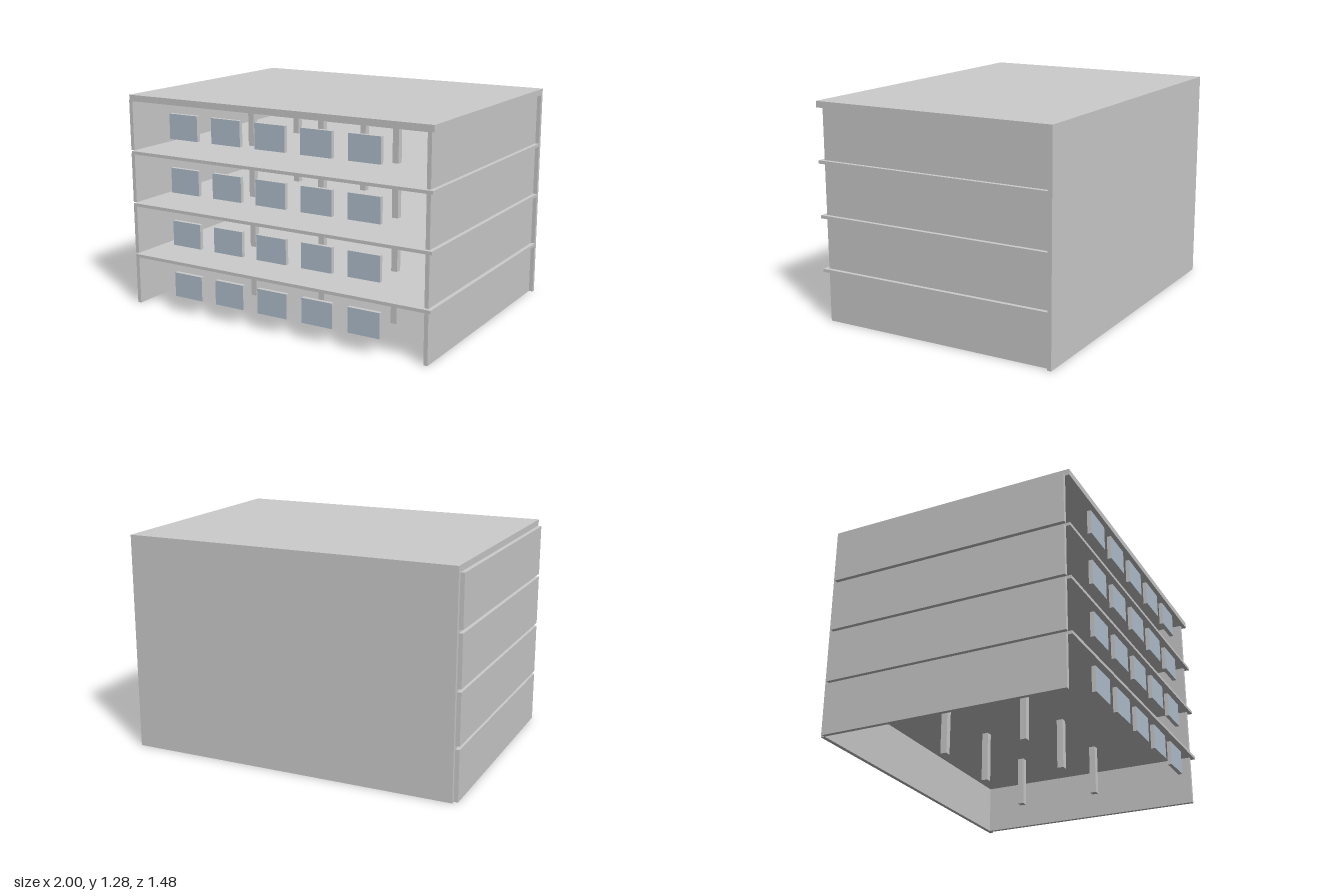
import * as THREE from 'three';

export function createModel() {
  const model = new THREE.Group();
  model.name = 'openBuilding';

  const concrete = new THREE.MeshStandardMaterial({ color: 0xcccccc });
  concrete.name = 'concrete grey';
  const glass = new THREE.MeshStandardMaterial({ color: 0xb4c3d1 });
  glass.name = 'glass blue';
  // Glass on the front and back faces, grey edges all round
  const windowMaterials = [concrete, concrete, concrete, concrete, glass, glass];

  // Box given by its minimum and maximum corners
  function box(parent, name, [x0, y0, z0], [x1, y1, z1], material = concrete) {
    const mesh = new THREE.Mesh(new THREE.BoxGeometry(x1 - x0, y1 - y0, z1 - z0), material);
    mesh.position.set((x0 + x1) / 2, (y0 + y1) / 2, (z0 + z1) / 2);
    mesh.name = name;
    parent.add(mesh);
  }

  const STEP = 0.3165, ROOM = 0.298, FLOORS = 4;
  const LEFT = 1, RIGHT = -0.976, Z = 0.74, IN = 0.716;
  const roofBase = (FLOORS - 1) * STEP + ROOM;

  for (let i = 0; i < FLOORS; i++) {
    const storey = new THREE.Group();
    storey.name = 'storey' + (i + 1);
    storey.position.y = i * STEP;
    model.add(storey);

    // Side walls: the right one stands outside the slabs, the left one is set in
    box(storey, 'rightWall', [-1, 0, -IN], [RIGHT, ROOM, IN]);
    box(storey, 'leftWall', [0.952, 0, -IN], [0.976, ROOM, IN]);

    // Ceiling slab
    if (i < FLOORS - 1) box(storey, 'floorSlab', [RIGHT, ROOM, -IN], [LEFT, STEP, Z]);

    // Columns, three across and two deep
    for (const x of [-0.482, 0.012, 0.504]) {
      for (const z of [-0.285, 0.209]) {
        box(storey, 'column', [x, 0, z], [x + 0.038, ROOM, z + 0.038]);
      }
    }

    // Row of five window panels along the front
    for (let k = 0; k < 5; k++) {
      const x = -0.68 + k * 0.296;
      box(storey, 'window', [x, 0.102, IN], [x + 0.197, 0.249, Z], windowMaterials);
    }
  }

  // Back wall and roof
  box(model, 'backWall', [RIGHT, 0, -Z], [LEFT, roofBase, -IN]);
  box(model, 'roof', [RIGHT, roofBase, -Z], [LEFT, roofBase + 0.037, Z]);

  return model;
}
